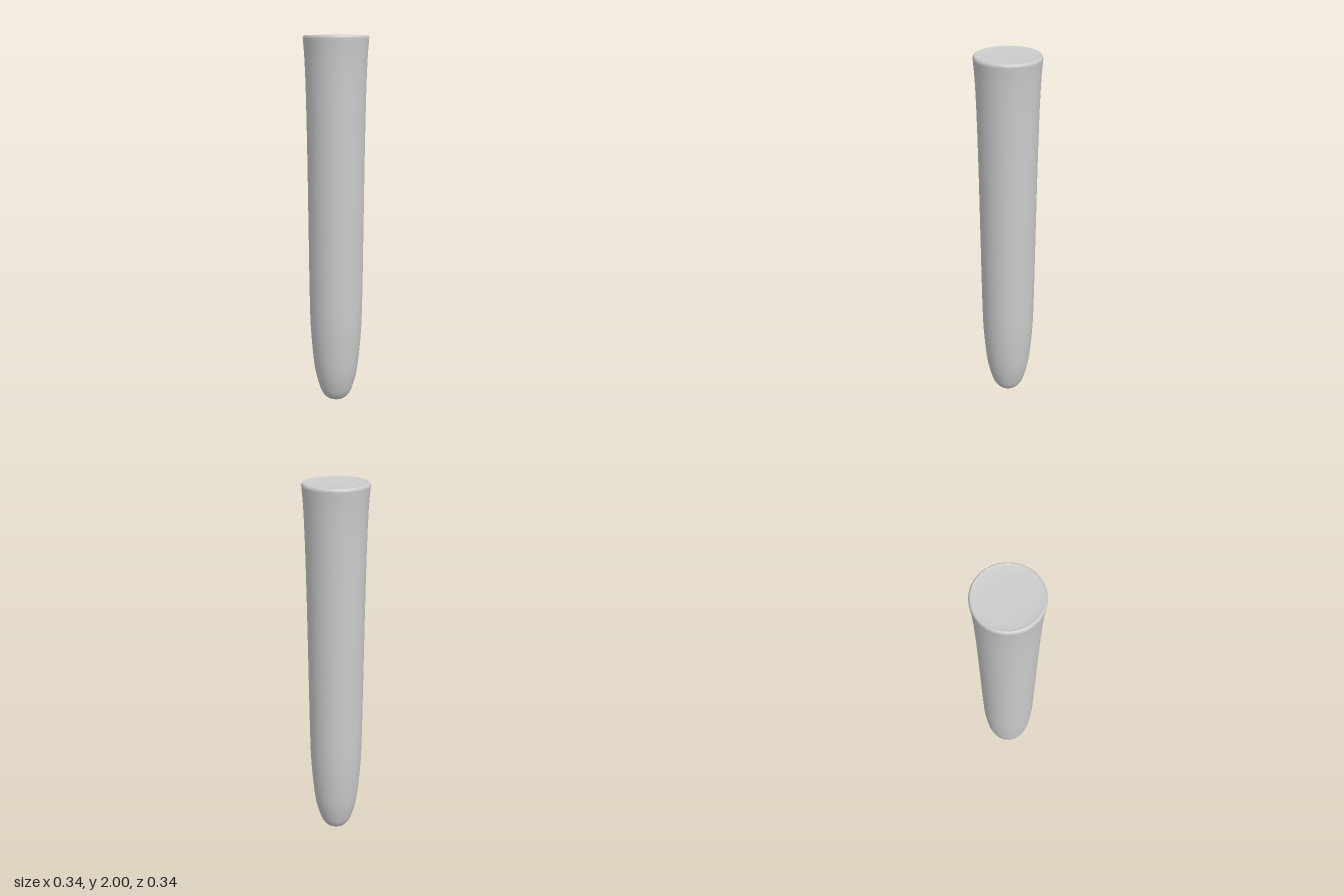
import * as THREE from 'three';

export function createModel() {
  const group = new THREE.Group();
  const material = new THREE.MeshStandardMaterial({ color: 0xcccccc });
  const v = (r, y) => new THREE.Vector2(r, y);

  // Tapering body: rounded tip, long shaft and flared rim
  const wall = new THREE.SplineCurve([
    v(0, 0), v(0.045, 0.006), v(0.075, 0.035), v(0.097, 0.09), v(0.121, 0.2),
    v(0.139, 0.4), v(0.145, 0.6), v(0.149, 1), v(0.153, 1.4), v(0.158, 1.7),
    v(0.164, 1.88), v(0.171, 1.975), v(0.171, 1.988), v(0.167, 1.997), v(0.162, 2),
  ]).getPoints(70);
  wall[0].set(0, 0);
  wall.forEach((p) => p.set(Math.max(p.x, 0), THREE.MathUtils.clamp(p.y, 0, 2)));
  const body = new THREE.Mesh(new THREE.LatheGeometry(wall, 32), material);
  body.name = 'taperedBody';
  group.add(body);

  // Closed top, dipping very slightly inside the rim
  const cap = new THREE.Mesh(
    new THREE.LatheGeometry([v(0.162, 2), v(0.155, 1.997), v(0.12, 1.994), v(0, 1.992)], 32),
    material,
  );
  cap.name = 'topCap';
  group.add(cap);

  return group;
}
